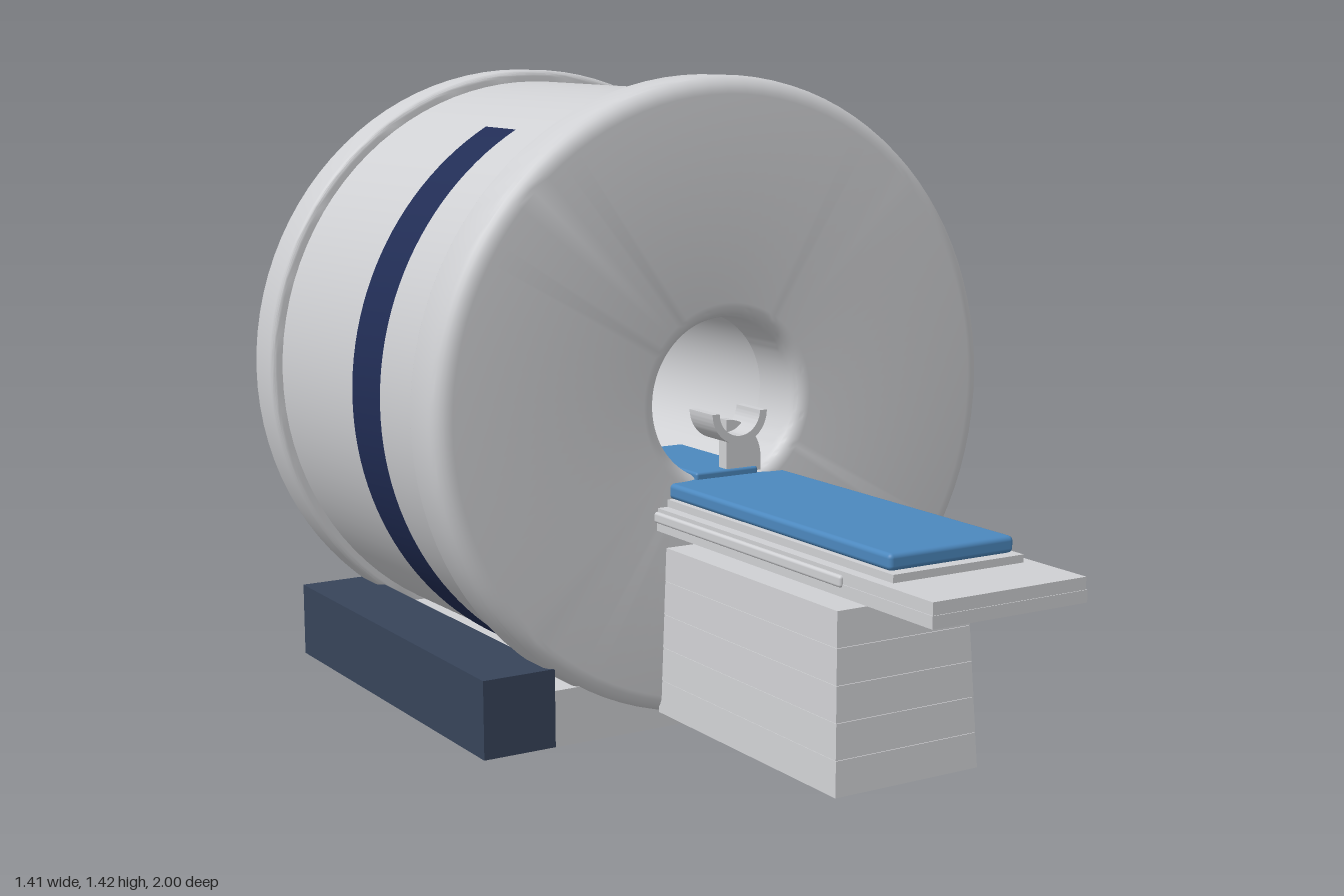
import * as THREE from 'three';
import { toCreasedNormals } from 'three/addons/utils/BufferGeometryUtils.js';
import { RoundedBoxGeometry } from 'three/addons/geometries/RoundedBoxGeometry.js';

const AXIS_Y = 0.72; // height of the bore axis

function material(name, color) {
  const m = new THREE.MeshStandardMaterial({ color });
  m.name = name;
  return m;
}

export function createModel() {
  const model = new THREE.Group();
  model.name = 'scanner';
  const shell = material('shell grey', 0xcfd0d3);
  const slate = material('slate base', 0x37445a);
  const navy = material('navy stripe', 0x212d55);
  navy.side = THREE.DoubleSide;
  const blue = material('mattress blue', 0x4c88be);

  function add(name, geometry, mat) {
    const mesh = new THREE.Mesh(geometry, mat);
    mesh.name = name;
    model.add(mesh);
    return mesh;
  }

  // Box given by its limits on each axis, optionally with rounded edges
  function box(name, mat, [x0, x1], [y0, y1], [z0, z1], round = 0) {
    const size = [x1 - x0, y1 - y0, z1 - z0];
    const g = round ? new RoundedBoxGeometry(...size, 3, round) : new THREE.BoxGeometry(...size);
    g.translate((x0 + x1) / 2, (y0 + y1) / 2, (z0 + z1) / 2);
    return add(name, g, mat);
  }

  // Profile of [radius, z] points turned about the bore axis
  function turned(name, mat, profile, start = 0, sweep = Math.PI * 2, segments = 96) {
    const points = profile.map(([r, z]) => new THREE.Vector2(r, z));
    const g = new THREE.LatheGeometry(points, segments, start, sweep);
    g.rotateX(Math.PI / 2);
    g.translate(0, AXIS_Y, 0);
    return add(name, toCreasedNormals(g, 0.5), mat);
  }

  // Quarter-round of profile points
  function fillet(r, z, radius, from, to) {
    return Array.from({ length: 7 }, (_, i) => {
      const a = from + ((to - from) * i) / 6;
      return [r + radius * Math.cos(a), z + radius * Math.sin(a)];
    });
  }

  // Gantry: two rounded end rings, the drum between them and the bore lining
  const H = Math.PI / 2;
  turned('frontRing', shell, [
    [0.66, -0.1],
    ...fillet(0.69, -0.085, 0.015, -H, 0),
    ...fillet(0.665, -0.01, 0.04, 0, H),
    ...fillet(0.215, -0.005, 0.035, H, Math.PI),
    [0.18, -0.12], [0.205, -0.12],
  ]);
  turned('backRing', shell, [
    [0.205, -0.85], [0.18, -0.85],
    ...fillet(0.215, -0.965, 0.035, Math.PI, 1.5 * Math.PI),
    ...fillet(0.665, -0.96, 0.04, -H, 0),
    ...fillet(0.69, -0.885, 0.015, 0, H),
    [0.66, -0.87],
  ]);
  turned('drum', shell, [[0.677, -0.88], [0.668, -0.09]]);
  turned('boreLining', shell, [[0.205, -0.12], [0.205, -0.85]]);

  // Stripes wrapped 120 degrees around each flank
  for (const side of [1, -1]) {
    turned(side > 0 ? 'leftStripe' : 'rightStripe', navy,
      [[0.677, -0.455], [0.675, -0.31]], side * H - Math.PI / 3, (Math.PI * 2) / 3, 48);
  }

  // Base: floor slab and two side blocks
  box('floorSlab', shell, [-0.585, 0.585], [0, 0.125], [-0.97, 0.01]);
  for (const s of [1, -1]) {
    box(s > 0 ? 'leftBaseBlock' : 'rightBaseBlock', slate,
      [s * 0.515 - 0.085, s * 0.515 + 0.085], [0.002, 0.175], [-0.975, 0.015]);
  }

  // Lift cover: five stacked sections, each slightly narrower at its top
  for (let i = 0; i < 5; i++) {
    const half = 0.176 - i * 0.003;
    const y0 = 0.04 + i * 0.074;
    const front = 0.692 - i * 0.004;
    const mesh = box('liftSection', shell, [-half, half], [y0, y0 + 0.073], [0.02, front]);
    const p = mesh.geometry.attributes.position;
    for (let k = 0; k < p.count; k++) {
      if (p.getY(k) > y0 + 0.03) {
        p.setX(k, p.getX(k) * 0.98);
        if (p.getZ(k) > 0.3) p.setZ(k, p.getZ(k) - 0.004);
      }
    }
    mesh.geometry.computeVertexNormals();
  }

  // Patient table
  box('tableBoard', shell, [-0.184, 0.184], [0.45, 0.475], [-0.05, 1]);
  box('tableTop', shell, [-0.182, 0.182], [0.475, 0.5], [-0.05, 0.998]);
  for (const s of [1, -1]) {
    box('sideRail', shell, [s * 0.183 - 0.007, s * 0.183 + 0.007], [0.468, 0.492], [-0.05, 0.72], 0.006);
  }
  box('mattressTray', shell, [-0.157, 0.157], [0.5, 0.516], [-0.05, 0.845]);
  box('mattress', blue, [-0.15, 0.15], [0.516, 0.55], [-0.05, 0.825], 0.01);
  box('headPad', blue, [-0.08, 0.08], [0.535, 0.565], [-0.3, 0.025], 0.006);

  // Head cradle: half ring open at the top
  const cradle = new THREE.Shape();
  cradle.absarc(0, 0, 0.07, Math.PI, Math.PI * 2, false);
  cradle.absarc(0, 0, 0.052, Math.PI * 2, Math.PI, true);
  const cradleGeo = new THREE.ExtrudeGeometry(cradle, { depth: 0.095, bevelEnabled: false, curveSegments: 24 });
  cradleGeo.translate(0, 0.7, -0.02);
  add('headCradle', toCreasedNormals(cradleGeo, 0.5), shell);

  // Cradle support: quarter disc standing on the pad
  const support = new THREE.Shape();
  support.moveTo(0, -0.03);
  support.lineTo(0.09, -0.03);
  support.absarc(0, 0, 0.09, 0, H, false);
  const supportGeo = new THREE.ExtrudeGeometry(support, { depth: 0.03, bevelEnabled: false, curveSegments: 16 });
  supportGeo.translate(0, 0.585, -0.01);
  add('cradleSupport', toCreasedNormals(supportGeo, 0.5), shell);

  return model;
}
